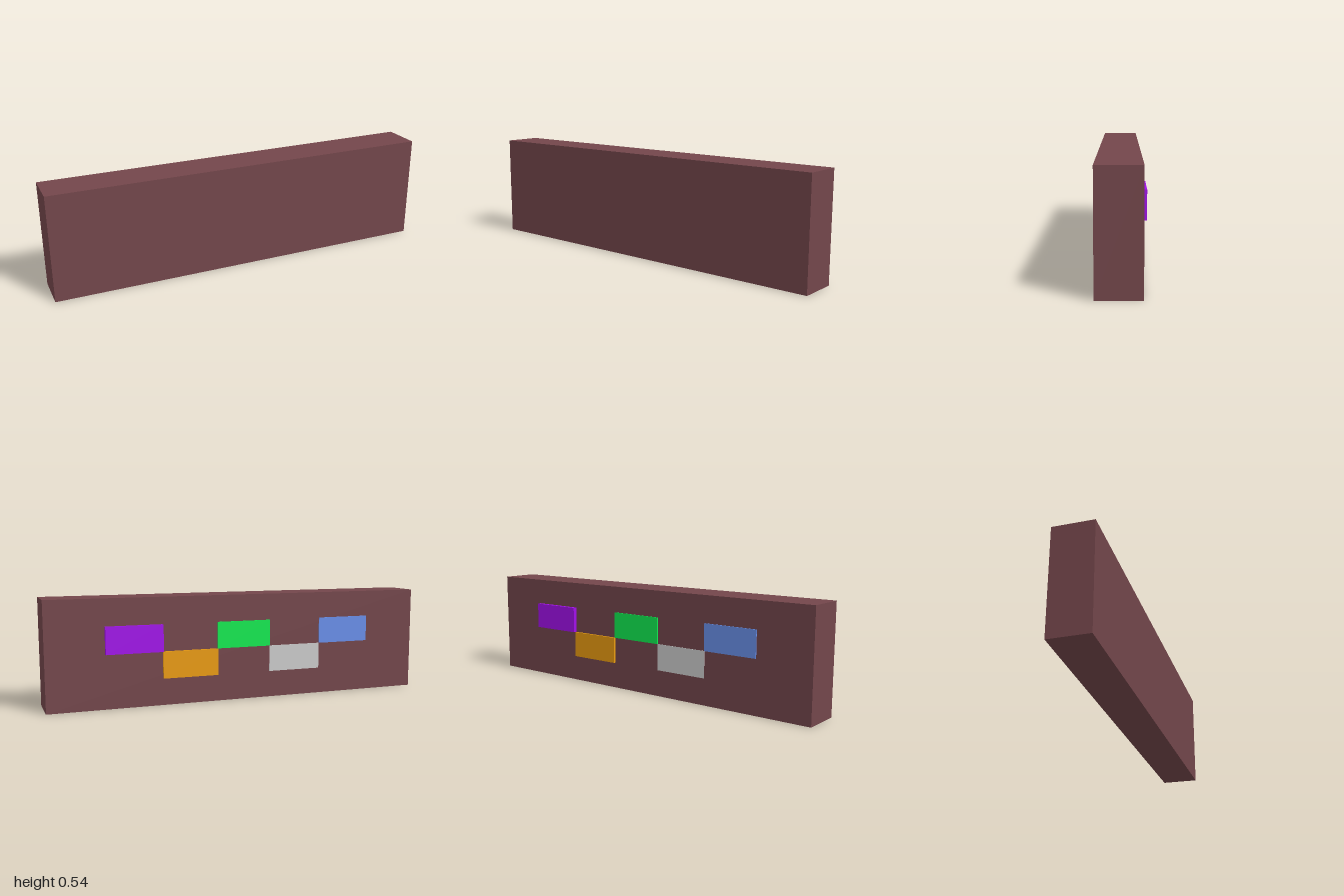
import * as THREE from 'three';

export function createModel() {
  const model = new THREE.Group();

  const addBox = (name, color, size, position) => {
    const mesh = new THREE.Mesh(
      new THREE.BoxGeometry(...size),
      new THREE.MeshStandardMaterial({ color })
    );
    mesh.name = name;
    mesh.position.set(...position);
    model.add(mesh);
  };

  // Main slab
  const height = 0.54, backZ = -0.09;
  addBox('slab', 0x73464b, [2, height, 0.2], [0, height / 2, 0.01]);

  // Raised tiles on the back, staggered in two rows from the model's left to right
  const tileWidth = 2 / 7, tileHeight = height / 4;
  const tiles = [
    ['purpleTile', 0xa010e9, 0.02],
    ['orangeTile', 0xe99b10, 0.011],
    ['greenTile', 0x10e950, 0.005],
    ['greyTile', 0xcccccc, 0.002],
    ['blueTile', 0x698fe9, 0.005],
  ];
  tiles.forEach(([name, color, depth], i) => {
    const row = i % 2 === 0 ? 2.5 : 1.5;
    addBox(name, color, [tileWidth, tileHeight, depth],
      [(2 - i) * tileWidth, row * tileHeight, backZ - depth / 2]);
  });

  return model;
}
